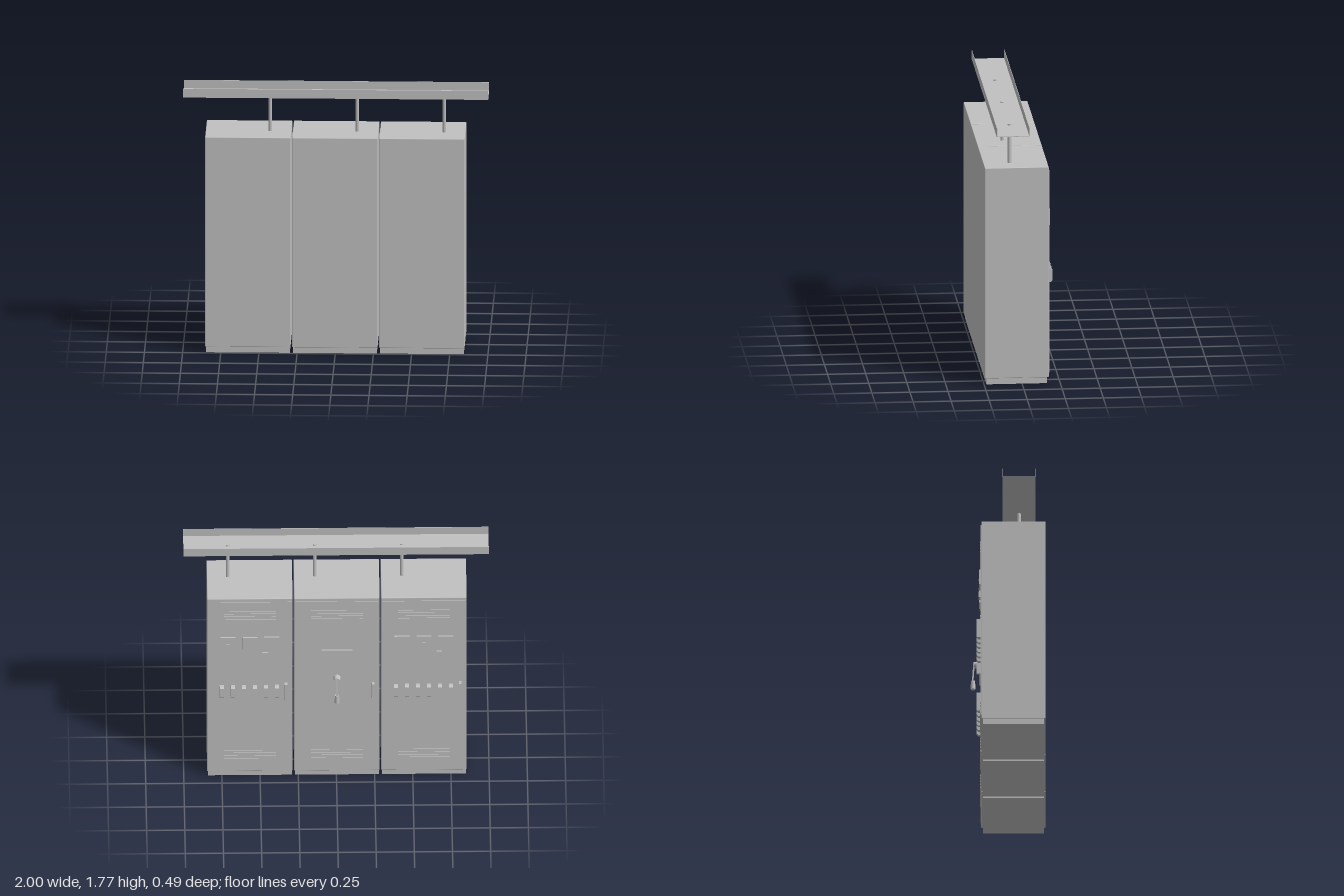
import * as THREE from 'three';
import { RoundedBoxGeometry } from 'three/addons/geometries/RoundedBoxGeometry.js';

const grey = new THREE.MeshStandardMaterial({ color: 0xc0c0c0 });
grey.name = 'paintedSteel';

const DOOR_Z = -0.179; // outer face of the doors

function add(parent, name, geometry, x = 0, y = 0, z = 0) {
  const mesh = new THREE.Mesh(geometry, grey);
  mesh.name = name;
  mesh.position.set(x, y, z);
  parent.add(mesh);
  return mesh;
}

// Box given by its x centre and width, y range and z range
function slab(parent, name, x, w, y0, y1, z0, z1) {
  return add(parent, name, new THREE.BoxGeometry(w, y1 - y0, z1 - z0), x, (y0 + y1) / 2, (z0 + z1) / 2);
}

// Fitting standing proud of a door
function onDoor(parent, name, x, w, y0, y1, depth) {
  return slab(parent, name, x, w, y0, y1, DOOR_Z - depth, DOOR_Z + 0.002);
}

// Fuse holder: chamfered side profile extruded across x
function fuseGeometry(w) {
  const s = new THREE.Shape();
  s.moveTo(0, -0.047);
  s.lineTo(0.015, -0.047);
  s.lineTo(0.027, -0.035);
  s.lineTo(0.027, 0.035);
  s.lineTo(0.015, 0.047);
  s.lineTo(0, 0.047);
  s.closePath();
  const g = new THREE.ExtrudeGeometry(s, { depth: w, bevelEnabled: false });
  g.translate(0, 0, -w / 2);
  g.rotateY(Math.PI / 2); // profile depth now points to -z
  return g;
}

function buildCabinet(name) {
  const cabinet = new THREE.Group();
  cabinet.name = name;
  slab(cabinet, 'plinth', 0, 0.55, 0, 0.042, -0.165, 0.235);
  add(cabinet, 'housing', new RoundedBoxGeometry(0.56, 1.425, 0.42, 2, 0.004), 0, 0.7525, 0.035);
  slab(cabinet, 'door', 0, 0.545, 0.07, 1.44, DOOR_Z, -0.17);
  // Ventilation louvres near the top and bottom
  for (const base of [0.142, 1.292]) {
    for (let i = 0; i < 4; i++) {
      onDoor(cabinet, 'louvre', 0, 0.34, base + i * 0.022, base + i * 0.022 + 0.01, 0.004);
    }
  }
  onDoor(cabinet, 'doorHandle', -0.237, 0.018, 0.645, 0.775, 0.028);
  return cabinet;
}

// Meters, push button and row of fuse holders
function addInstruments(cabinet) {
  for (const x of [-0.143, 0, 0.143]) {
    onDoor(cabinet, 'meter', x, 0.1, 1.05, 1.155, 0.011);
    onDoor(cabinet, 'meterMark', x, 0.026, 1.1, 1.104, 0.013);
  }
  onDoor(cabinet, 'pushButton', -0.1, 0.038, 0.99, 1.03, 0.013);
  const fuse = fuseGeometry(0.027);
  for (let i = 0; i < 6; i++) {
    add(cabinet, 'fuseHolder', fuse, -0.177 + i * 0.0722, 0.71, DOOR_Z);
  }
}

// Main switch: plate, hub, sloping arm and grip
function addSwitch(cabinet) {
  onDoor(cabinet, 'switchPlate', 0, 0.205, 0.72, 1.045, 0.01);
  const hub = new THREE.CylinderGeometry(0.02, 0.025, 0.042, 16).rotateX(-Math.PI / 2);
  add(cabinet, 'switchHub', hub, 0, 0.82, -0.206);
  const arm = add(cabinet, 'switchArm', new THREE.BoxGeometry(0.016, 0.145, 0.01), 0, 0.765, -0.227);
  arm.rotation.x = 0.07;
  add(cabinet, 'switchGrip', new THREE.CylinderGeometry(0.014, 0.016, 0.06, 12), 0, 0.675, -0.229);
}

export function createModel() {
  const model = new THREE.Group();
  model.name = 'switchgearCabinets';

  const names = ['rightCabinet', 'middleCabinet', 'leftCabinet'];
  names.forEach((name, i) => {
    const cabinet = buildCabinet(name);
    cabinet.position.x = -0.573 + i * 0.57;
    if (i === 1) addSwitch(cabinet);
    else addInstruments(cabinet);
    // Rod holding up the cable tray
    add(cabinet, 'trayRod', new THREE.CylinderGeometry(0.012, 0.012, 0.27, 10), 0.143, 1.592, 0.072);
    model.add(cabinet);
  });

  // Open cable tray: thin floor and two side walls
  const tray = new THREE.Group();
  tray.name = 'cableTray';
  slab(tray, 'trayFloor', 0, 2, 1.715, 1.719, -0.037, 0.179);
  slab(tray, 'trayBackWall', 0, 2, 1.715, 1.775, -0.037, -0.034);
  slab(tray, 'trayFrontWall', 0, 2, 1.715, 1.775, 0.176, 0.179);
  model.add(tray);

  return model;
}
